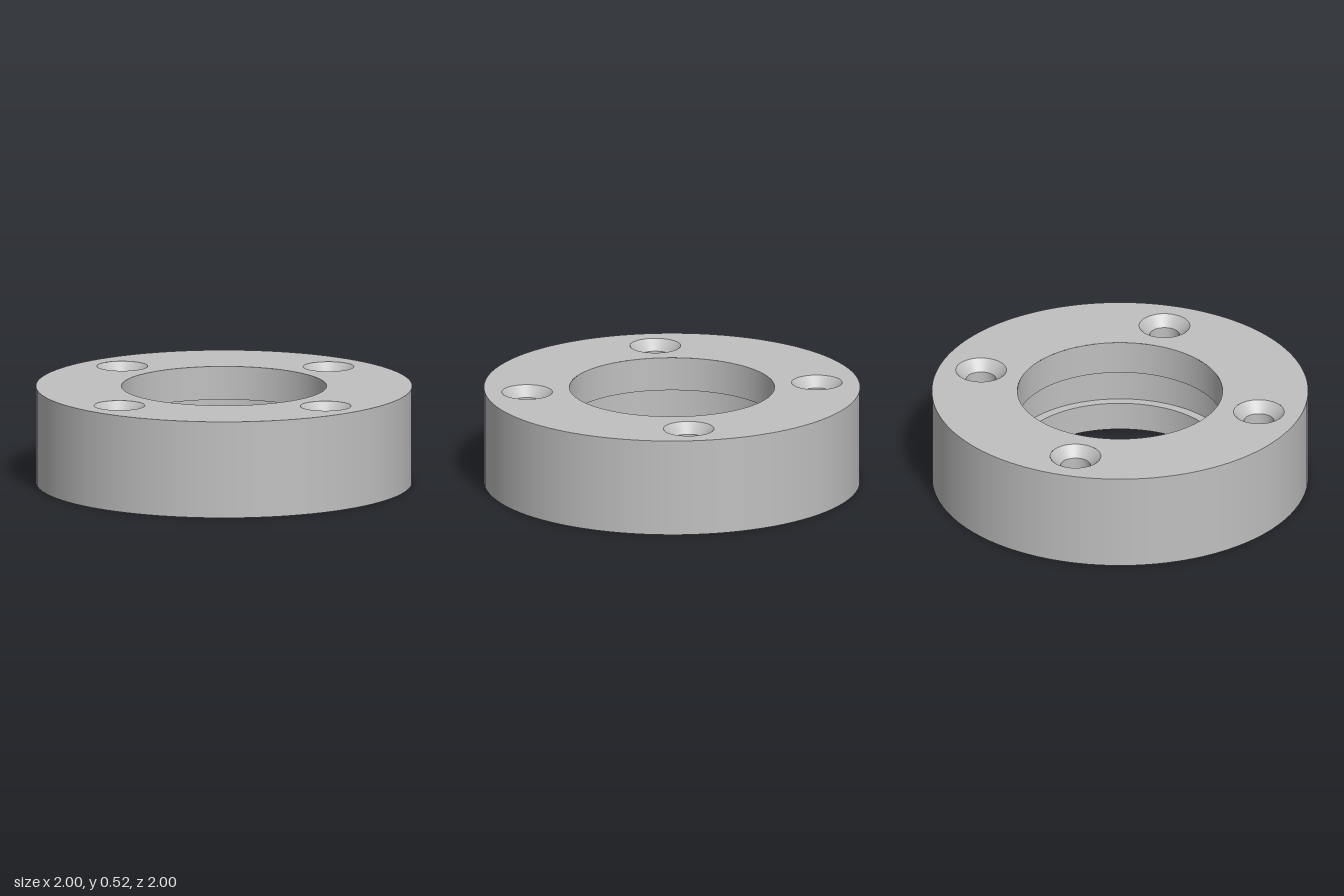
import * as THREE from 'three';

const SEG = 96;
const HEIGHT = 0.52, OUTER = 1, BORE = 0.545;
const GROOVE_R = 0.595, GROOVE_LOW = 0.155, GROOVE_HIGH = 0.34;
const BOLT_CIRCLE = 0.775, HOLE = 0.08, SINK = 0.135, SINK_DEPTH = 0.055;
const HEX = 0.15, HEX_DEPTH = 0.15;

const circle = (r, x = 0, y = 0, Type = THREE.Path) => new Type().absarc(x, y, r, 0, Math.PI * 2);

// Hexagon with two corners pointing along z once laid flat
function hexagon(x = 0, y = 0, Type = THREE.Path) {
  const points = [];
  for (let i = 0; i < 6; i++) {
    const a = Math.PI / 2 + i * Math.PI / 3;
    points.push(new THREE.Vector2(x + HEX * Math.cos(a), y + HEX * Math.sin(a)));
  }
  return new Type(points);
}

export function createModel() {
  const group = new THREE.Group();
  const steel = new THREE.MeshStandardMaterial({ color: 0xc0c0c0 });
  steel.name = 'steel grey';

  const add = (parent, name, geometry) => {
    const mesh = new THREE.Mesh(geometry, steel);
    mesh.name = name;
    parent.add(mesh);
    return mesh;
  };
  // One turned band between two profile points; its ends stay sharp
  const band = (parent, name, r1, y1, r2, y2) => add(parent, name,
    new THREE.LatheGeometry([new THREE.Vector2(r1, y1), new THREE.Vector2(r2, y2)], SEG));
  // Flat face from a shape, facing up or down
  const face = (parent, name, shape, y, up) => add(parent, name,
    new THREE.ShapeGeometry(shape, SEG).rotateX(up ? -Math.PI / 2 : Math.PI / 2).translate(0, y, 0));

  const centres = [0, 1, 2, 3].map((i) => [
    Math.round(Math.cos(i * Math.PI / 2)) * BOLT_CIRCLE,
    Math.round(Math.sin(i * Math.PI / 2)) * BOLT_CIRCLE,
  ]);

  // Ring body: outer wall, then the bore with its internal groove
  band(group, 'outerWall', OUTER, 0, OUTER, HEIGHT);
  band(group, 'upperBore', BORE, HEIGHT, BORE, GROOVE_HIGH);
  band(group, 'grooveCeiling', BORE, GROOVE_HIGH, GROOVE_R, GROOVE_HIGH);
  band(group, 'grooveWall', GROOVE_R, GROOVE_HIGH, GROOVE_R, GROOVE_LOW);
  band(group, 'grooveFloor', GROOVE_R, GROOVE_LOW, BORE, GROOVE_LOW);
  band(group, 'lowerBore', BORE, GROOVE_LOW, BORE, 0);

  // Top face with countersink openings, bottom face with nut pocket openings
  const top = circle(OUTER, 0, 0, THREE.Shape);
  top.holes.push(circle(BORE), ...centres.map(([x, z]) => circle(SINK, x, z)));
  face(group, 'topFace', top, HEIGHT, true);
  const bottom = circle(OUTER, 0, 0, THREE.Shape);
  bottom.holes.push(circle(BORE), ...centres.map(([x, z]) => hexagon(x, z)));
  face(group, 'bottomFace', bottom, 0, false);

  // Bolt holes: countersink, shaft and hexagonal nut pocket
  centres.forEach(([x, z]) => {
    const hole = new THREE.Group();
    hole.name = 'boltHole';
    hole.position.set(x, 0, z);
    band(hole, 'countersink', SINK, HEIGHT, HOLE, HEIGHT - SINK_DEPTH);
    band(hole, 'boltShaft', HOLE, HEIGHT - SINK_DEPTH, HOLE, HEX_DEPTH);

    const roof = hexagon(0, 0, THREE.Shape);
    roof.holes.push(circle(HOLE));
    face(hole, 'nutPocketRoof', roof, HEX_DEPTH, false);

    const walls = new THREE.LatheGeometry(
      [new THREE.Vector2(HEX, HEX_DEPTH), new THREE.Vector2(HEX, 0)], 6).toNonIndexed();
    walls.computeVertexNormals();
    add(hole, 'nutPocketWalls', walls);
    group.add(hole);
  });

  return group;
}
